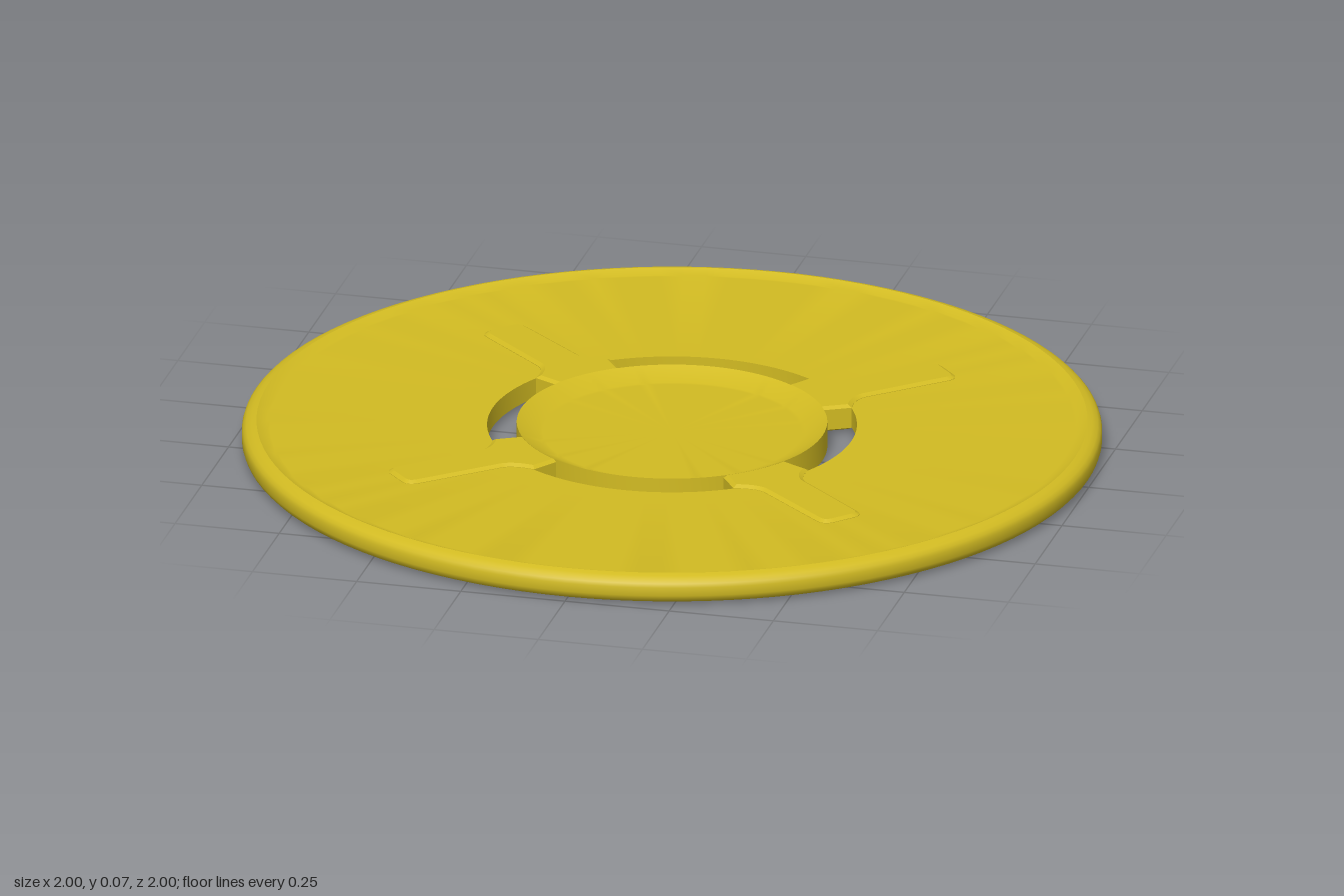
import * as THREE from 'three';
import { toCreasedNormals } from 'three/addons/utils/BufferGeometryUtils.js';

const HEIGHT = 0.07;
const SEGMENTS = 112;

// Lathe a profile of [radius, y] points that is symmetric about mid-height.
// Only the lower half is given, running from the inside outwards.
function symmetricLathe(lower, closed) {
  const upper = lower.map(([r, y]) => [r, HEIGHT - y]).reverse();
  const profile = [...lower, ...upper];
  if (closed) profile.push(lower[0]);
  const points = profile.map(([r, y]) => new THREE.Vector2(r, y));
  return toCreasedNormals(new THREE.LatheGeometry(points, SEGMENTS), 0.6);
}

// Spoke pointing along +x: wide bridge at the hub, flaring into a narrow rounded tip
function spokeGeometry() {
  const s = new THREE.Shape();
  s.moveTo(0.342, -0.085);
  s.lineTo(0.417, -0.104);
  s.quadraticCurveTo(0.445, -0.062, 0.475, -0.058);
  s.lineTo(0.695, -0.056);
  s.quadraticCurveTo(0.725, -0.056, 0.725, -0.026);
  s.lineTo(0.725, 0.026);
  s.quadraticCurveTo(0.725, 0.056, 0.695, 0.056);
  s.lineTo(0.475, 0.058);
  s.quadraticCurveTo(0.445, 0.062, 0.417, 0.104);
  s.lineTo(0.342, 0.085);
  s.quadraticCurveTo(0.362, 0, 0.342, -0.085);
  const geo = new THREE.ExtrudeGeometry(s, {
    depth: 0.05, curveSegments: 6,
    bevelEnabled: true, bevelThickness: 0.006, bevelSize: 0.01, bevelOffset: -0.01, bevelSegments: 1,
  });
  geo.rotateX(-Math.PI / 2);
  geo.translate(0, 0.01, 0);
  return toCreasedNormals(geo, 0.5);
}

export function createModel() {
  const group = new THREE.Group();
  const yellow = new THREE.MeshStandardMaterial({ color: 0xd2bb22 });
  yellow.name = 'mustard yellow';

  const add = (name, geometry) => {
    const mesh = new THREE.Mesh(geometry, yellow);
    mesh.name = name;
    group.add(mesh);
    return mesh;
  };

  // Flat annular plate with a raised, rounded rim
  add('plateAndRim', symmetricLathe([
    [0.43, 0.011], [0.45, 0.011], [0.935, 0.011], [0.942, 0.011], [0.966, 0],
    [0.978, 0.003], [0.99, 0.0085], [0.997, 0.016], [1, 0.025],
  ], true));

  // Central hub, dished on both faces
  add('dishedHub', symmetricLathe([
    [0, 0.029], [0.3, 0.029], [0.31, 0.029], [0.361, 0.004],
  ], false));

  // Four raised spokes bridging the slots between hub and plate
  const spoke = spokeGeometry();
  const angle = THREE.MathUtils.degToRad(42.2);
  [angle, Math.PI - angle, Math.PI + angle, -angle].forEach((a, i) => {
    add(`spoke${i + 1}`, spoke).rotation.y = a;
  });

  return group;
}
